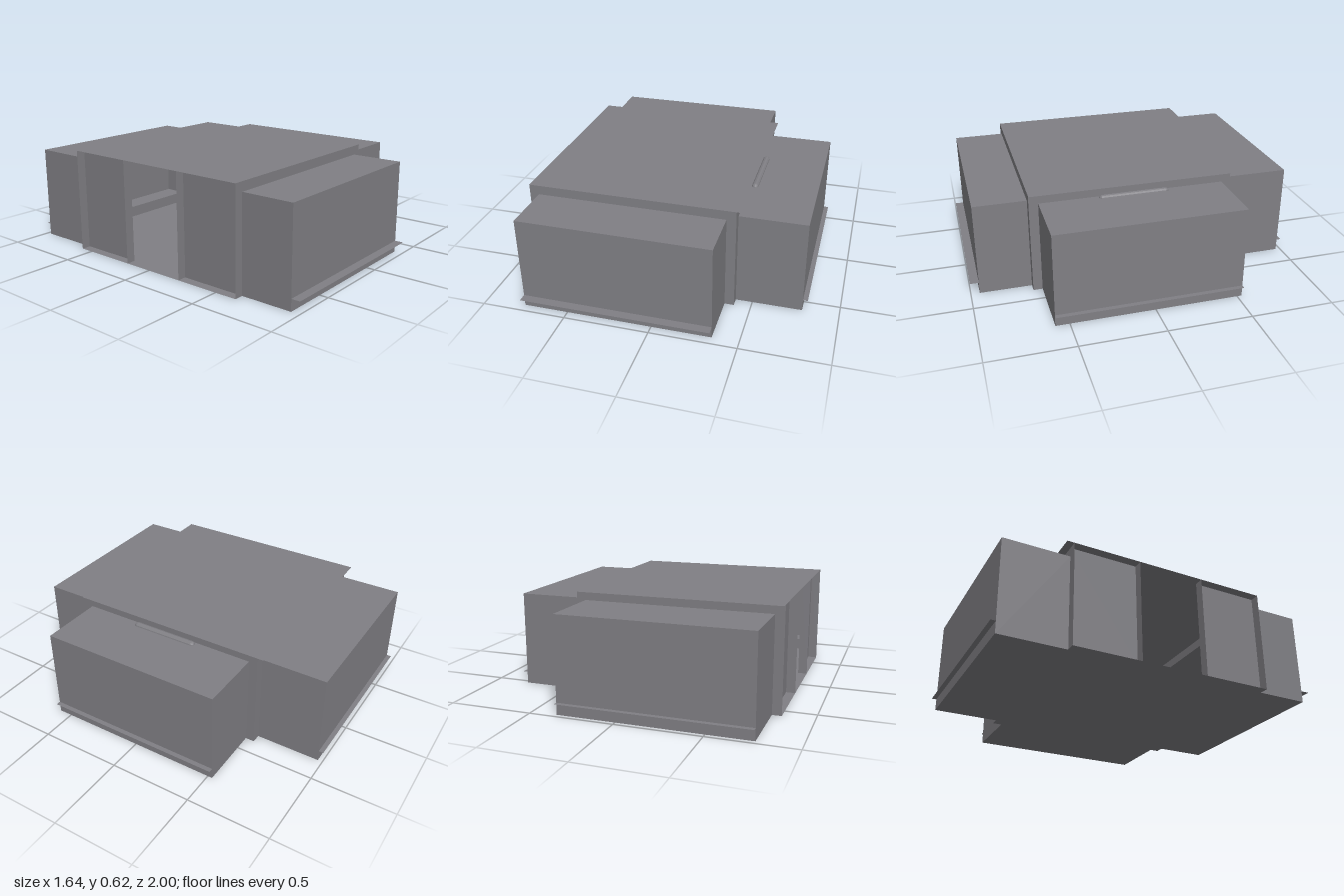
import * as THREE from 'three';

const paint = new THREE.MeshStandardMaterial({ color: 0x807f84, flatShading: true, side: THREE.DoubleSide });
const H = 0.62, WING_H = 0.565, LIP_Y = 0.07;
const X0 = -0.818, X1 = 0.402, Z0 = -0.582, Z1 = 0.637;

function add(parent, name, geometry) {
  const mesh = new THREE.Mesh(geometry, paint);
  mesh.name = name;
  parent.add(mesh);
  return mesh;
}

// Thin sheets: horizontal (y), facing z, and facing x
function sheetY(parent, name, x0, x1, z0, z1, y) {
  const g = new THREE.PlaneGeometry(x1 - x0, z1 - z0).rotateX(-Math.PI / 2);
  return add(parent, name, g.translate((x0 + x1) / 2, y, (z0 + z1) / 2));
}
function sheetZ(parent, name, x0, x1, y0, y1, z) {
  const g = new THREE.PlaneGeometry(x1 - x0, y1 - y0);
  return add(parent, name, g.translate((x0 + x1) / 2, (y0 + y1) / 2, z));
}
function sheetX(parent, name, z0, z1, y0, y1, x) {
  const g = new THREE.PlaneGeometry(z1 - z0, y1 - y0).rotateY(Math.PI / 2);
  return add(parent, name, g.translate(x, (y0 + y1) / 2, (z0 + z1) / 2));
}

// Slide-out room pointing along local +z, with the framed wall it passes through
function slideOut(name, angle, { wall, centre, halfWidth, inner, outer, lip }) {
  const g = new THREE.Group();
  g.name = name;
  const a = centre - halfWidth, b = centre + halfWidth;
  sheetZ(g, 'wallStrip', wall[0], a, 0, H, inner);
  sheetZ(g, 'wallStrip', b, wall[1], 0, H, inner);
  sheetZ(g, 'wallHeader', a, b, WING_H, H, inner);
  sheetY(g, 'slideRoof', a, b, inner, outer, WING_H);
  sheetY(g, 'slideFloor', a, b, inner, outer, 0);
  sheetZ(g, 'slideEnd', a, b, 0, WING_H, outer);
  for (const x of [a, b]) sheetX(g, 'slideSide', inner, outer, 0, WING_H, x);
  // raised step inside, running out through the end wall as a lip
  sheetY(g, 'lip', a, b, lip - 0.17, lip, LIP_Y);
  sheetZ(g, 'stepRiser', a, b, 0, LIP_Y, lip - 0.17);
  g.rotation.y = angle;
  return g;
}

export function createModel() {
  const model = new THREE.Group();
  model.name = 'expandingCabin';

  // Main room, its roof overhanging the back and left walls
  sheetY(model, 'roof', X0, 0.42, -0.625, Z1, H);
  sheetY(model, 'floor', X0, X1, Z0, Z1, 0);

  // Three slide-out rooms
  model.add(slideOut('frontSlideOut', 0,
    { wall: [X0, X1], centre: -0.208, halfWidth: 0.555, inner: Z1, outer: 0.948, lip: 1 }));
  model.add(slideOut('backSlideOut', Math.PI,
    { wall: [-X1, -X0], centre: 0.208, halfWidth: 0.555, inner: -Z0, outer: 0.972, lip: 1 }));
  model.add(slideOut('leftSlideOut', Math.PI / 2,
    { wall: [-Z1, -Z0], centre: -0.027, halfWidth: 0.555, inner: X1, outer: 0.79, lip: 0.818 }));

  // Open right side: recessed panels either side of a doorway with jambs
  const recess = -0.763, door = [-0.177, 0.232];
  sheetX(model, 'entrancePanel', Z0, door[0], 0, H, recess);
  sheetX(model, 'entrancePanel', door[1], Z1, 0, H, recess);
  for (const z of door) sheetZ(model, 'doorJamb', X0, recess, 0, H, z);

  // Rounded bar on top of the left slide-out
  const bar = add(model, 'roofBar', new THREE.CapsuleGeometry(0.021, 0.376, 4, 12).rotateX(Math.PI / 2));
  bar.position.set(0.424, 0.561, 0.025);

  return model;
}
